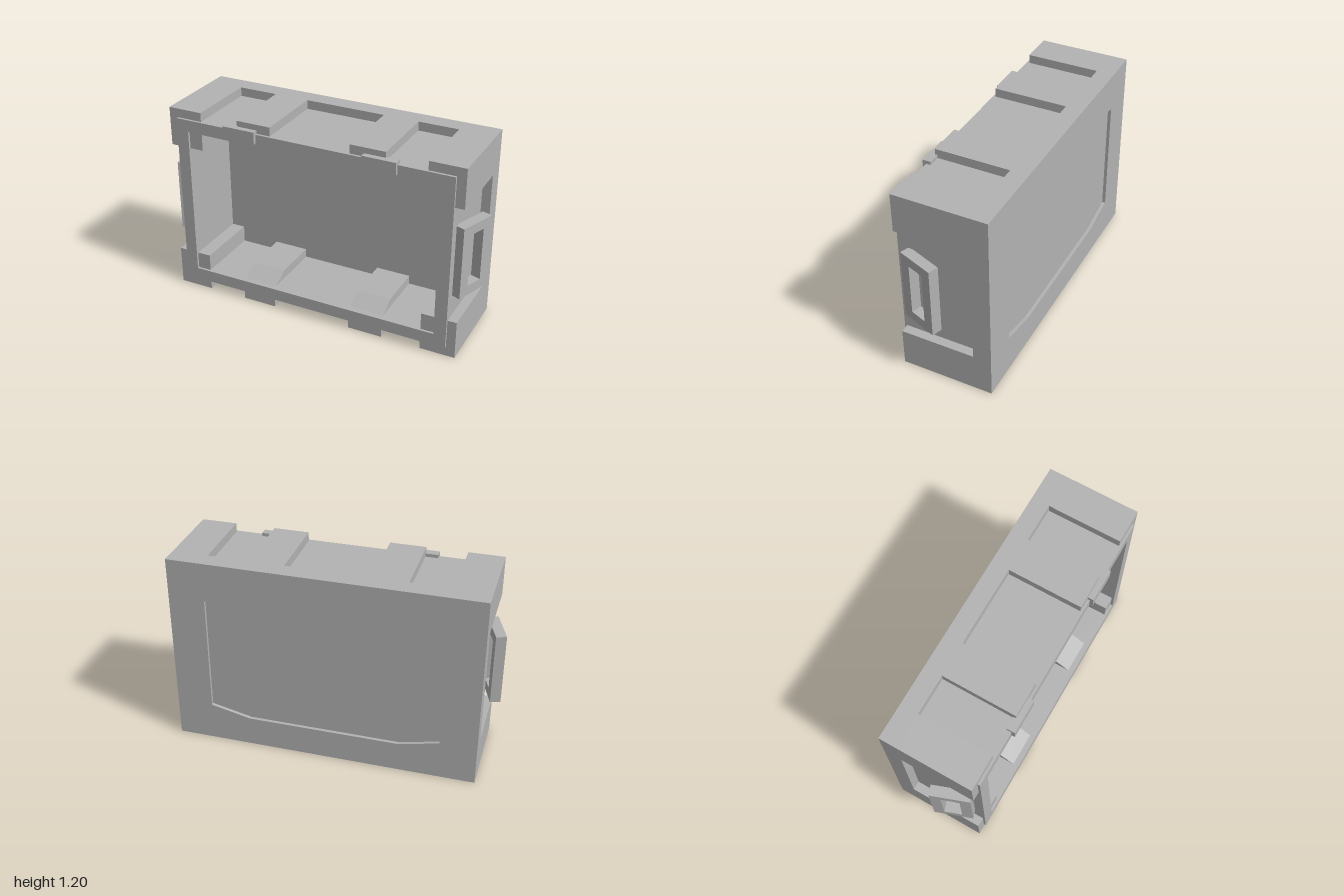
import * as THREE from 'three';

const H = 1.2; // overall height

export function createModel() {
  const group = new THREE.Group();
  group.name = 'case';
  const grey = new THREE.MeshStandardMaterial({ color: 0xb3b3b3 });
  grey.name = 'plain grey';

  const add = (name, geometry) => {
    const mesh = new THREE.Mesh(geometry, grey);
    mesh.name = name;
    group.add(mesh);
    return mesh;
  };
  // Box given by its limits on each axis
  const box = (name, x0, x1, y0, y1, z0, z1) =>
    add(name, new THREE.BoxGeometry(x1 - x0, y1 - y0, z1 - z0)
      .translate((x0 + x1) / 2, (y0 + y1) / 2, (z0 + z1) / 2));
  const poly = (points) => points.map(([x, y]) => new THREE.Vector2(x, y));
  const rect = (x0, x1, y0, y1) => poly([[x0, y0], [x1, y0], [x1, y1], [x0, y1]]);
  // Plate with one opening, extruded from z0 to z1
  const frame = (outer, hole, z0, z1) => {
    const shape = new THREE.Shape(outer);
    shape.holes.push(new THREE.Path(hole));
    return new THREE.ExtrudeGeometry(shape, { depth: z1 - z0, bevelEnabled: false })
      .translate(0, 0, z0);
  };

  // Open tray: wall ring and floor
  add('trayWalls', frame(rect(-0.87, 0.87, 0.06, 1.145), rect(-0.795, 0.795, 0.135, 1.07), -0.19, 0.28));
  box('trayFloor', -0.8, 0.8, 0.13, 1.075, -0.2, -0.15);

  // Back slab with a shallow eight-sided recess
  box('backSlab', -0.925, 0.925, 0, H, -0.28, -0.19);
  const octagon = poly([
    [-0.705, 0.24], [-0.46, 0.185], [0.46, 0.185], [0.705, 0.24],
    [0.705, 0.96], [0.46, 1.015], [-0.46, 1.015], [-0.705, 0.96],
  ]);
  add('backRecessFrame', frame(rect(-0.925, 0.925, 0, H), octagon, -0.3, -0.28));

  // Rib side profile as [z, y], with a sloped inner end
  const ribProfile = [
    [-0.19, 0], [0.265, 0], [0.265, 0.08], [0.245, 0.1],
    [0.245, 0.135], [0.135, 0.19], [-0.19, 0.19],
  ];

  for (const s of [-1, 1]) {
    for (const top of [false, true]) {
      // Corner posts, showing both outside and inside the tray
      const [y0, y1] = top ? [0.96, H] : [0, 0.24];
      const [x0, x1] = s > 0 ? [0.71, 0.925] : [-0.925, -0.71];
      box('cornerPost', x0, x1, y0, y1, -0.19, 0.265);

      // Ribs across the top and bottom walls
      const profile = poly(ribProfile.map(([z, y]) => [z, top ? H - y : y]));
      const rib = new THREE.ExtrudeGeometry(new THREE.Shape(profile), { depth: 0.215, bevelEnabled: false });
      rib.translate(0, 0, -0.1075).rotateY(-Math.PI / 2).translate(s * 0.3575, 0, 0);
      add('rib', rib);
    }

    // Latch tab over the top rim
    const cx = s * 0.4375;
    box('latchTab', cx - 0.1025, cx + 0.1025, 1.09, 1.165, 0.25, 0.3);

    // Tilted side handle with a slot through it
    const handle = add('sideHandle', frame(
      rect(-0.117, 0.117, 0.38, 0.825), rect(-0.053, 0.053, 0.44, 0.765), -0.063, 0));
    handle.position.set(s * 0.96, 0, 0.125);
    handle.rotation.y = s * THREE.MathUtils.degToRad(70);
  }
  return group;
}
